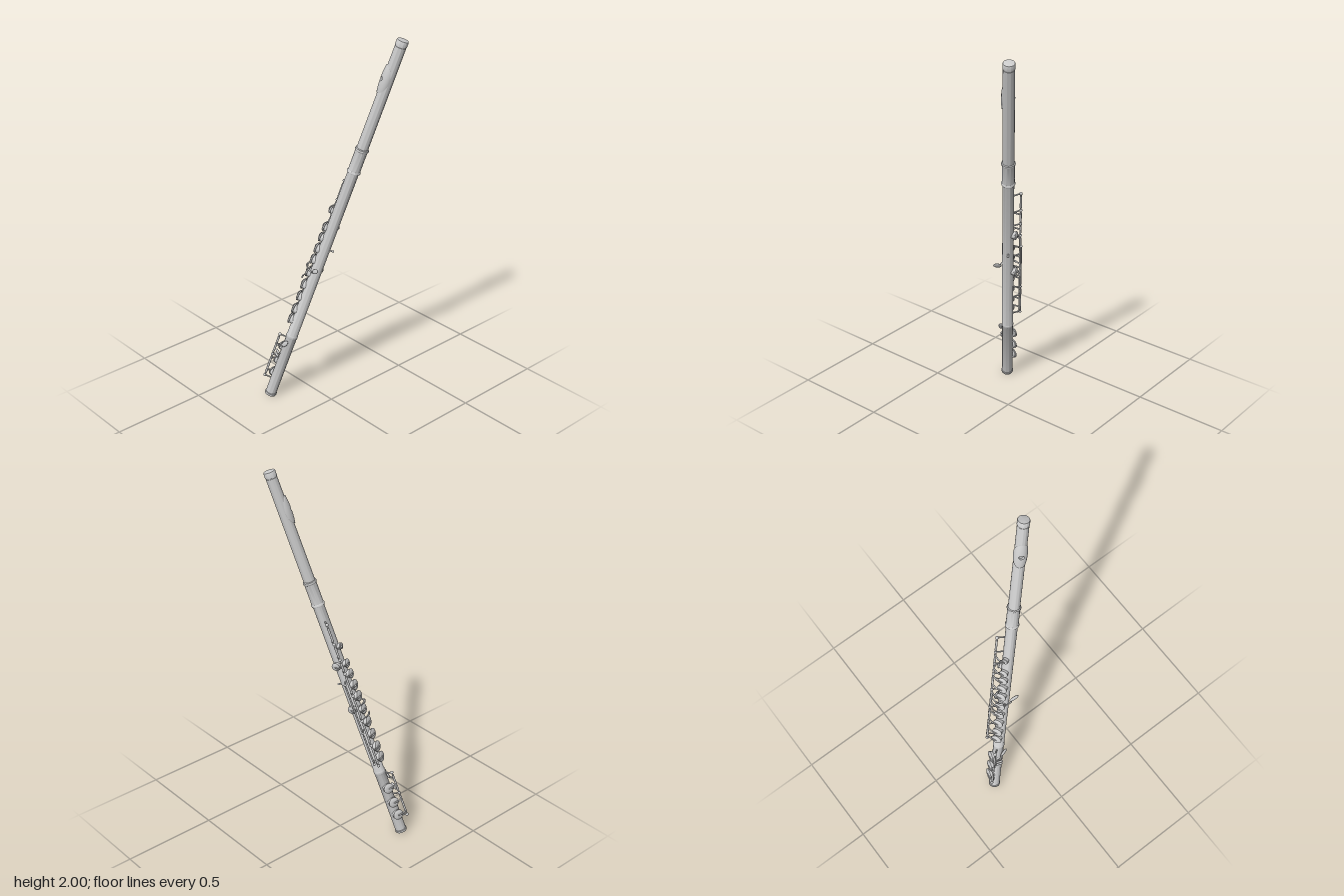
import * as THREE from 'three';
import { toCreasedNormals } from 'three/addons/utils/BufferGeometryUtils.js';
import { ParametricGeometry } from 'three/addons/geometries/ParametricGeometry.js';

const metal = new THREE.MeshStandardMaterial({ color: 0xcccccc });
const thin = new THREE.MeshStandardMaterial({ color: 0xcccccc, side: THREE.DoubleSide });
const V = (x, y, z) => new THREE.Vector3(x, y, z);
const UP = V(0, 1, 0);

function add(parent, name, geometry, material = metal) {
  const mesh = new THREE.Mesh(geometry, material);
  mesh.name = name;
  parent.add(mesh);
  return mesh;
}

function lathe(points, segments) {
  const geometry = new THREE.LatheGeometry(points.map(([r, y]) => new THREE.Vector2(r, y)), segments);
  return toCreasedNormals(geometry, 0.6);
}

// Straight round bar between two points
function bar(parent, name, a, b, r) {
  const mesh = add(parent, name, new THREE.CylinderGeometry(r, r, a.distanceTo(b), 10));
  mesh.position.copy(a).add(b).multiplyScalar(0.5);
  mesh.quaternion.setFromUnitVectors(UP, b.clone().sub(a).normalize());
}

function ball(parent, name, p, r) {
  add(parent, name, new THREE.SphereGeometry(r, 14, 10)).position.copy(p);
}

function arm(parent, name, points, r) {
  add(parent, name, new THREE.TubeGeometry(new THREE.CatmullRomCurve3(points), 14, r, 8));
  ball(parent, name + 'End', points[0], r);
  ball(parent, name + 'End', points[points.length - 1], r);
}

// Point around the tube: angle from the key side, height along the tube, radius
const around = (deg, s, r) => {
  const a = THREE.MathUtils.degToRad(deg);
  return V(-Math.sin(a) * r, s, Math.cos(a) * r);
};

// Domed key cup on its tone hole
function key(parent, name, deg, s, r) {
  const group = new THREE.Group();
  group.name = name;
  group.position.y = s;
  group.rotation.y = -THREE.MathUtils.degToRad(deg);
  parent.add(group);
  const hole = add(group, 'toneHole', new THREE.CylinderGeometry(r * 0.85, r * 0.85, 0.022, 24));
  hole.rotation.x = Math.PI / 2;
  hole.position.z = 0.025;
  const cup = add(group, 'cup', lathe([[0, 0], [r, 0], [r, 0.006], [r * 0.85, 0.009],
    [r * 0.5, 0.0105], [r * 0.25, 0.012], [0, 0.0125]], 28));
  cup.rotation.x = Math.PI / 2;
  cup.position.z = 0.037;
}

// Rod with sleeves, held by ball-headed posts
function rodAssembly(parent, name, x, z, stations, r) {
  const group = new THREE.Group();
  group.name = name;
  parent.add(group);
  const last = stations.length - 1;
  bar(group, 'rod', V(x, stations[0], z), V(x, stations[last], z), r);
  stations.forEach((s, i) => {
    const d = Math.hypot(x, z);
    ball(group, 'postBall', V(x, s, z), r * 2);
    bar(group, 'post', V(x * 0.025 / d, s, z * 0.025 / d), V(x, s, z), r * 0.95);
    if (i < last) bar(group, 'sleeve', V(x, s + 0.018, z), V(x, stations[i + 1] - 0.018, z), r * 1.35);
  });
}

// Flattened finger leaf
function leaf(parent, name, center, along, normal, size) {
  const mesh = add(parent, name, new THREE.SphereGeometry(1, 20, 12));
  const y = along.clone().normalize();
  const x = y.clone().cross(normal).normalize();
  const z = x.clone().cross(y);
  mesh.quaternion.setFromRotationMatrix(new THREE.Matrix4().makeBasis(x, y, z));
  mesh.scale.copy(size);
  mesh.position.copy(center);
}

export function createModel() {
  const model = new THREE.Group();
  model.name = 'flute';
  const flute = new THREE.Group();
  flute.name = 'tiltedFlute';
  model.add(flute);

  // Lean of the whole instrument: y runs along the tube, z faces the keys
  const foot = V(-0.25, 0.01, 0.21);
  const axis = V(0.255, 1.99, -0.212).sub(foot);
  const L = axis.length();
  const t = axis.normalize();
  const z = UP.clone().addScaledVector(t, -t.y).normalize();
  const x = t.clone().cross(z);
  flute.quaternion.setFromRotationMatrix(new THREE.Matrix4().makeBasis(x, t, z));
  flute.position.copy(foot);

  // Hollow tube with joint rings, barrel and end crown
  add(flute, 'tube', lathe([[0, L - 0.05], [0.025, L - 0.05], [0.025, 0], [0.03, 0], [0.031, 0.003],
    [0.031, 0.012], [0.0285, 0.015], [0.0285, 0.375], [0.0305, 0.378], [0.0305, 0.392], [0.0285, 0.395],
    [0.0285, 1.374], [0.033, 1.376], [0.0345, 1.381], [0.033, 1.386], [0.0305, 1.389],
    [0.0305, 1.496], [0.033, 1.499], [0.0345, 1.504], [0.033, 1.509], [0.0285, 1.512],
    [0.0275, L - 0.034], [0.0265, L - 0.033], [0.0265, L - 0.03], [0.029, L - 0.029],
    [0.029, L - 0.006], [0.027, L - 0.001], [0.016, L + 0.001], [0, L + 0.002]], 48));

  // Lip plate: rings from the blow hole to an oval rim, wrapped on the tube
  const plate = new ParametricGeometry((u, v, p) => {
    const a = v * Math.PI * 2;
    const k = THREE.MathUtils.clamp((u - 0.1) / 0.8, 0, 1);
    const angle = Math.cos(a) * THREE.MathUtils.lerp(0.36, 1.5, k);
    const h = Math.sin(a) * THREE.MathUtils.lerp(0.011, 0.072, k);
    const r = u < 0.05 ? 0.0282 : u > 0.95 ? 0.027 : 0.0375 - 0.005 * k * k;
    p.set(Math.sin(angle) * r, h, Math.cos(angle) * r);
  }, 10, 48);
  const lip = add(flute, 'lipPlate', plate, thin);
  lip.position.y = 1.88;
  lip.rotation.y = 0.38;

  // Main key row and its arms to the rod
  const rodX = -0.062, rodZ = 0.026;
  const row = [[1.14, 0.017], [1.04, 0.022], [0.98, 0.024], [0.914, 0.027], [0.848, 0.027],
    [0.77, 0.027], [0.693, 0.027], [0.619, 0.027], [0.54, 0.028], [0.476, 0.028]];
  row.forEach(([s, r]) => {
    key(flute, 'key', 14, s, r);
    arm(flute, 'keyArm', [around(14, s, 0.048), around(38, s + 0.003, 0.057), V(rodX, s + 0.01, rodZ)], 0.0042);
  });
  rodAssembly(flute, 'mainRod', rodX, rodZ, [0.455, 0.58, 0.73, 0.88, 1.01, 1.09, 1.18, 1.29], 0.0042);
  rodAssembly(flute, 'trillRod', -0.066, 0.008, [0.47, 0.66, 0.95], 0.0035);

  // Thumb and side keys behind the rod
  [[1.046, 0.022], [0.79, 0.022]].forEach(([s, r]) => {
    key(flute, 'thumbKey', 108, s, r);
    arm(flute, 'thumbArm', [around(108, s, 0.048), around(90, s, 0.06), V(rodX, s, rodZ)], 0.004);
  });

  // Trill levers between the keys
  [0.81, 0.735].forEach(s => {
    arm(flute, 'trillLever', [V(rodX, s, rodZ), around(30, s, 0.058), around(5, s, 0.056)], 0.0035);
    leaf(flute, 'trillTouch', around(4, s, 0.056), V(1, 0.2, 0), V(0, 0, 1), V(0.008, 0.016, 0.004));
  });

  // Little-finger lever reaching over the far side
  arm(flute, 'sideLever', [V(rodX, 0.81, rodZ), around(20, 0.808, 0.055), around(-30, 0.802, 0.05),
    V(0.042, 0.802, 0.022)], 0.0042);
  leaf(flute, 'sideLeaf', V(0.053, 0.817, 0.006), V(0.033, 0.029, -0.02), V(0.5, 0, 0.86), V(0.012, 0.029, 0.006));

  // Foot keys on their own rod
  const footX = -0.005, footZ = 0.062;
  [0.12, 0.2, 0.29].forEach(s => {
    key(flute, 'footKey', 52, s, 0.028);
    arm(flute, 'footArm', [around(52, s, 0.048), around(25, s, 0.059), V(footX, s, footZ)], 0.0042);
  });
  rodAssembly(flute, 'footRod', footX, footZ, [0.095, 0.235, 0.365], 0.0042);
  arm(flute, 'footLever', [V(footX, 0.31, footZ), V(0.018, 0.312, 0.052), V(0.03, 0.322, 0.032)], 0.0042);
  leaf(flute, 'footLeaf', V(0.034, 0.342, 0.021), V(0.012, 0.03, -0.012), V(0.75, 0, 0.66), V(0.013, 0.03, 0.006));
  for (const s of [0.255, 0.275]) {
    bar(flute, 'footRoller', V(0.006, s, 0.05), V(0.034, s, 0.03), 0.006);
  }

  // Hand rest peg at the back
  bar(flute, 'restPeg', V(0, 0.93, -0.025), V(0, 0.93, -0.042), 0.004);
  ball(flute, 'restPegBall', V(0, 0.93, -0.043), 0.006);

  return model;
}
